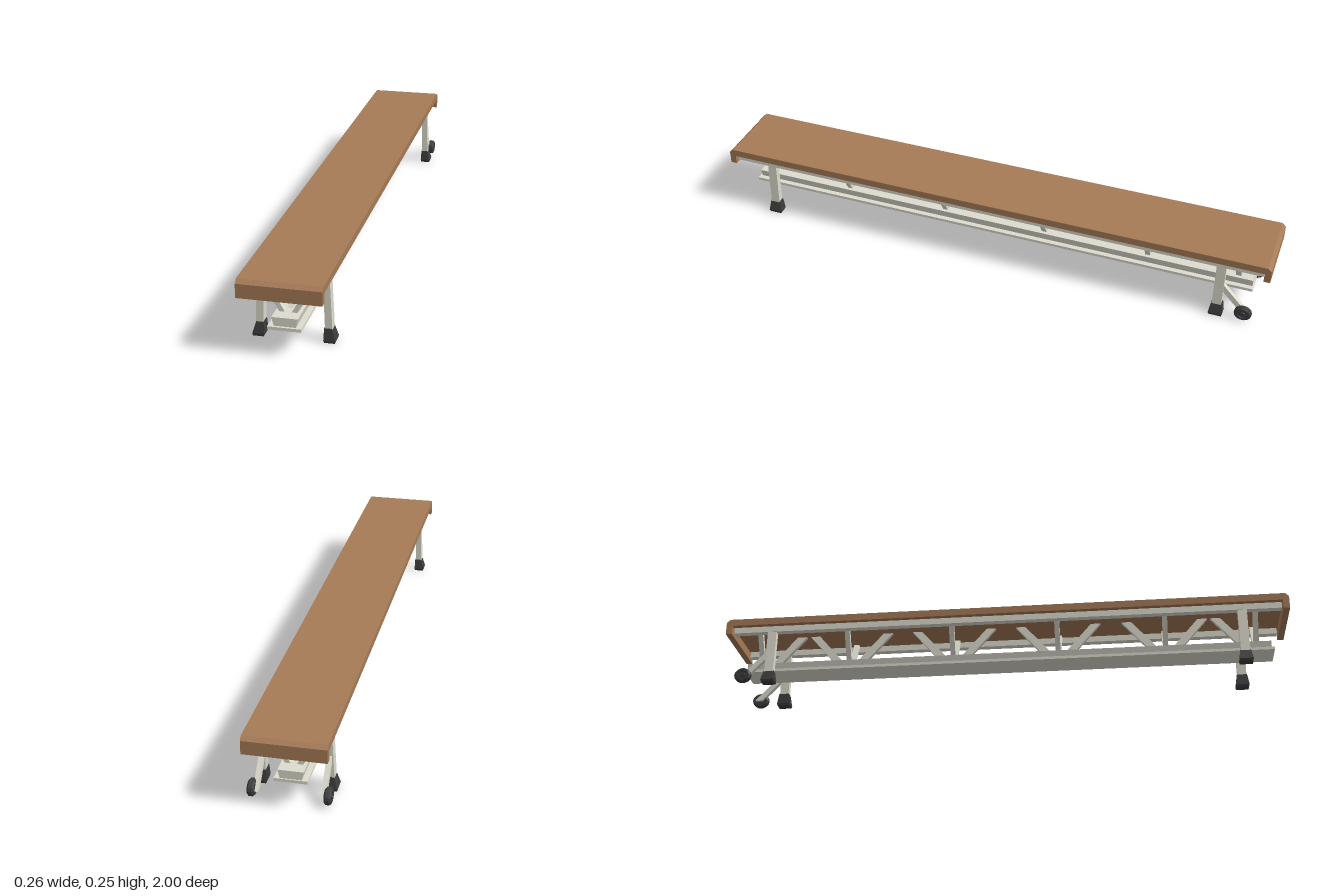
import * as THREE from 'three';

const paint = (color) => new THREE.MeshStandardMaterial({ color });
const wood = paint(0xa67b57);
const metal = paint(0xdedccf);
const rubber = paint(0x3c3c3c);

// Slanted or tapered box: level ends centred on a (bottom) and b (top), sizes [x, z]
function bar(name, a, b, sizeA, sizeB = sizeA, material = metal) {
  let geo = new THREE.BoxGeometry(1, 1, 1);
  const p = geo.attributes.position;
  for (let i = 0; i < p.count; i++) {
    const [c, s] = p.getY(i) > 0 ? [b, sizeB] : [a, sizeA];
    p.setXYZ(i, c[0] + p.getX(i) * s[0], c[1], c[2] + p.getZ(i) * s[1]);
  }
  geo = geo.toNonIndexed();
  geo.computeVertexNormals();
  const mesh = new THREE.Mesh(geo, material);
  mesh.name = name;
  return mesh;
}

// Seat board: one side profile with bevelled, turned-down ends, extruded across
function makeSeat() {
  const half = [[0.978, 0.222], [0.978, 0.19], [1, 0.19], [1, 0.235], [0.987, 0.247]];
  const mirrored = half.map(([z, y]) => [-z, y]).reverse();
  const shape = new THREE.Shape([...half, ...mirrored].map(([z, y]) => new THREE.Vector2(z, y)));
  const geo = new THREE.ExtrudeGeometry(shape, { depth: 0.26, bevelEnabled: false });
  geo.rotateY(-Math.PI / 2).translate(0.127, 0, 0);
  const seat = new THREE.Mesh(geo, wood);
  seat.name = 'seat';
  return seat;
}

// Wheel with a raised hub, axle along x
function makeWheel(side) {
  const wheel = new THREE.Group();
  wheel.name = 'wheel';
  const profile = [[0, -0.011], [0.024, -0.011], [0.03, -0.006], [0.03, 0.006], [0.024, 0.011],
    [0.016, 0.011], [0.015, 0.008], [0.01, 0.008], [0.009, 0.013], [0, 0.013]];
  const geo = new THREE.LatheGeometry(profile.map(([r, h]) => new THREE.Vector2(r, h)), 14)
    .toNonIndexed();
  geo.computeVertexNormals();
  geo.rotateZ(-side * Math.PI / 2).scale(1, 0.9, 1);
  const tyre = new THREE.Mesh(geo, rubber);
  tyre.name = 'tyre';
  wheel.add(tyre);
  wheel.position.set(side * 0.118, 0.03, -0.927);
  return wheel;
}

export function createModel() {
  const bench = new THREE.Group();
  bench.name = 'bench';
  bench.add(makeSeat());

  // Lower balance beam
  const cx = -0.005;
  bench.add(
    bar('beamPlate', [cx, 0.07, 0.002], [cx, 0.08, 0.002], [0.104, 1.884]),
    bar('beam', [cx, 0.08, 0], [cx, 0.108, 0], [0.068, 1.872], [0.081, 1.872]),
  );

  // Struts: a crosswise V at each station, with lengthwise diagonals between
  const stations = [0.885, 0.57, 0.19, -0.187, -0.566, -0.885];
  stations.forEach((z, i) => {
    for (const s of [-1, 1]) {
      bench.add(bar('crossStrut', [cx + s * 0.018, 0.106, z], [cx + s * 0.086, 0.222, z], [0.018, 0.018]));
      const outward = (i === 0 && s > 0) || (i === stations.length - 1 && s < 0);
      if (outward) continue;
      bench.add(bar('diagonalStrut', [cx - 0.001, 0.106, z + s * 0.035], [cx - 0.001, 0.222, z + s * 0.135], [0.014, 0.034]));
    }
  });

  for (const s of [-1, 1]) {
    // Side rail under the seat
    bench.add(bar('rail', [s * 0.103, 0.2, 0], [s * 0.103, 0.222, 0], [0.024, 1.95]));

    // Splayed legs with flared rubber feet
    for (const z of [-0.835, 0.838]) {
      bench.add(
        bar('leg', [s * 0.108, 0.03, z], [s * 0.102, 0.204, z], [0.023, 0.032], [0.021, 0.032]),
        bar('footCap', [s * 0.111, 0.008, z], [s * 0.106, 0.046, z], [0.037, 0.048], [0.024, 0.036], rubber),
        bar('footSole', [s * 0.111, 0, z], [s * 0.111, 0.008, z], [0.033, 0.044], [0.037, 0.048], rubber),
      );
    }

    // Wheel on a slanted arm behind the back leg
    bench.add(bar('wheelArm', [s * 0.104, 0.025, -0.93], [s * 0.104, 0.122, -0.84], [0.016, 0.026]));
    bench.add(makeWheel(s));
  }
  return bench;
}
